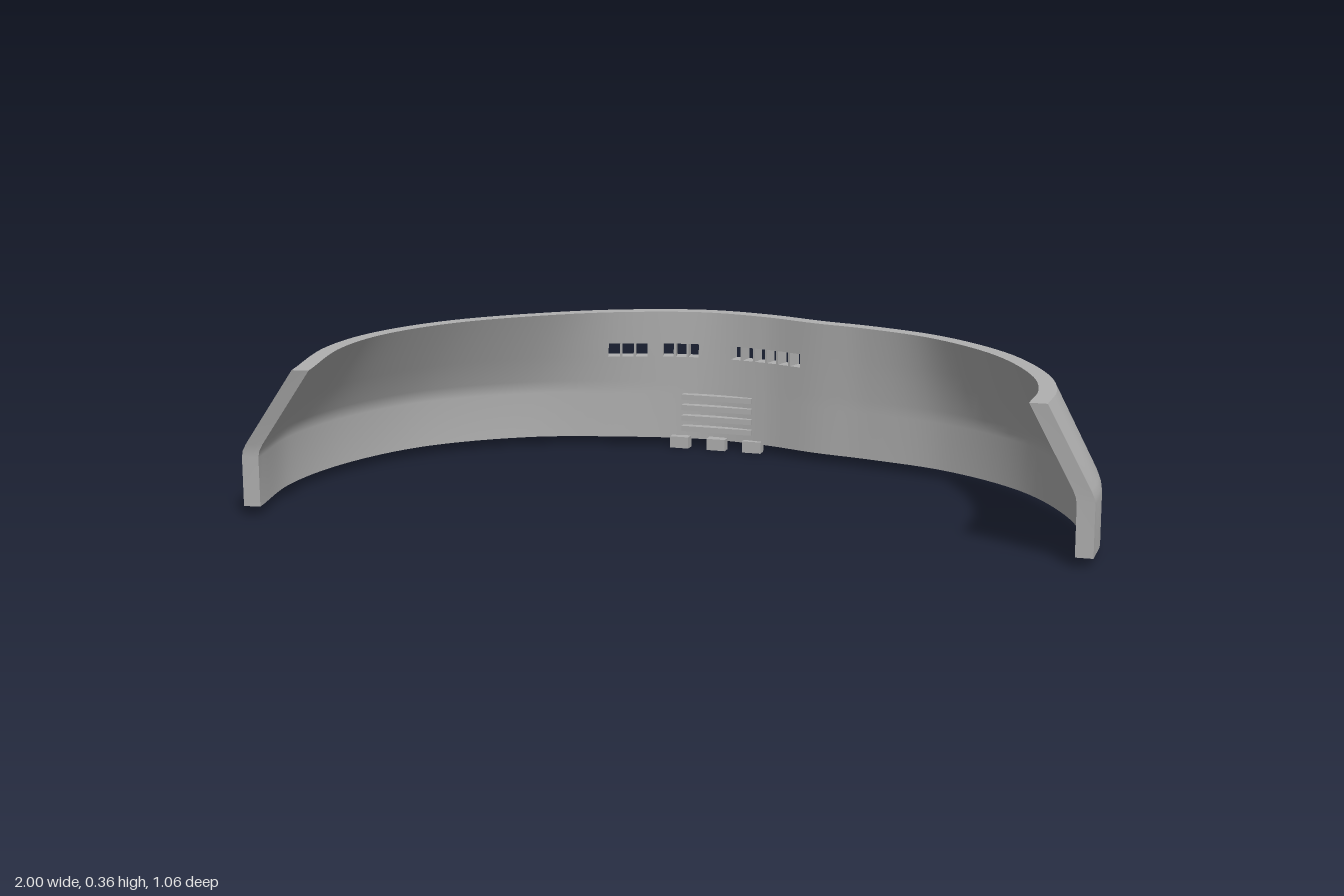
import * as THREE from 'three';
import { toCreasedNormals } from 'three/addons/utils/BufferGeometryUtils.js';

const THICK = 0.04;
const KNEE = 0.155;
const TOP = 0.36;

// Outer outline in plan, from the right front end round the back to the left end:
// [x, z at the foot, x, z at the rim]
const PLAN = [
  [-0.963, 0.5, -0.813, 0.525], [-0.998, 0.27, -0.866, 0.24], [-0.96, 0.02, -0.84, 0.03],
  [-0.84, -0.22, -0.73, -0.18], [-0.61, -0.41, -0.54, -0.36], [-0.38, -0.49, -0.37, -0.465],
  [-0.15, -0.53, -0.15, -0.53], [0.03, -0.51, 0.03, -0.51], [0.18, -0.465, 0.18, -0.46],
  [0.33, -0.435, 0.32, -0.425], [0.55, -0.37, 0.51, -0.345], [0.78, -0.21, 0.71, -0.17],
  [0.94, 0.03, 0.845, 0.06], [0.995, 0.22, 0.89, 0.23], [1, 0.355, 0.893, 0.37],
];
const curve = (a) => new THREE.CatmullRomCurve3(PLAN.map((p) => new THREE.Vector3(p[a], 0, p[a + 1])));
const foot = curve(0);
const rim = curve(2);

// Point on the outer wall, or on the inner wall when moved in by depth
function wallPoint(t, y, lean, depth) {
  const p = foot.getPoint(t).lerp(rim.getPoint(t), lean);
  const d = foot.getTangent(t).lerp(rim.getTangent(t), lean).normalize();
  return new THREE.Vector3(p.x - d.z * depth, y, p.z + d.x * depth);
}

const leanAt = (y) => Math.max(0, (y - KNEE) / (TOP - KNEE));

// Curve parameter at a given x along the back
function paramAtX(x) {
  let a = 3 / 14, b = 10 / 14;
  for (let k = 0; k < 40; k++) {
    const m = (a + b) / 2;
    if (wallPoint(m, 0, 0.5, 0).x < x) a = m; else b = m;
  }
  return a;
}

// Wall as a grid of solid cells, with open cells for the slots
function bandGeometry() {
  const rows = [[0.022, 0], [0.14, 0], [KNEE, 0.02], [0.172, leanAt(0.172)],
    [0.24, leanAt(0.24)], [0.275, leanAt(0.275)], [TOP, 1]];
  const slotRow = 4;

  const slots = [];
  for (const [x0, x1, n] of [[-0.405, -0.3, 3], [-0.265, -0.16, 3], [-0.07, 0.145, 6]]) {
    const step = (x1 - x0) / n;
    for (let k = 0; k < n; k++) {
      slots.push([paramAtX(x0 + k * step + 0.003), paramAtX(x0 + (k + 1) * step - 0.003)]);
    }
  }
  const cuts = slots.flat();
  const cols = [...cuts];
  for (let k = 0; k <= 96; k++) {
    const t = k / 96;
    if (cuts.every((c) => Math.abs(c - t) > 0.002)) cols.push(t);
  }
  cols.sort((a, b) => a - b);

  const grid = (depth) => cols.map((t) => rows.map(([y, lean]) => wallPoint(t, y, lean, depth)));
  const O = grid(0);
  const I = grid(THICK);
  const solid = (i, j) => {
    if (i < 0 || j < 0 || i >= cols.length - 1 || j >= rows.length - 1) return false;
    const mid = (cols[i] + cols[i + 1]) / 2;
    return !(j === slotRow && slots.some(([a, b]) => mid > a && mid < b));
  };

  const pos = [];
  const quad = (a, b, c, d) => {
    for (const p of [a, b, c, a, c, d]) pos.push(p.x, p.y, p.z);
  };
  for (let i = 0; i < cols.length - 1; i++) {
    for (let j = 0; j < rows.length - 1; j++) {
      if (!solid(i, j)) continue;
      const m = i + 1, n = j + 1;
      quad(O[i][j], O[i][n], O[m][n], O[m][j]);
      quad(I[i][j], I[m][j], I[m][n], I[i][n]);
      if (!solid(i - 1, j)) quad(O[i][j], I[i][j], I[i][n], O[i][n]);
      if (!solid(m, j)) quad(O[m][j], O[m][n], I[m][n], I[m][j]);
      if (!solid(i, j - 1)) quad(O[i][j], O[m][j], I[m][j], I[i][j]);
      if (!solid(i, n)) quad(O[i][n], I[i][n], I[m][n], O[m][n]);
    }
  }
  const g = new THREE.BufferGeometry();
  g.setAttribute('position', new THREE.Float32BufferAttribute(pos, 3));
  return toCreasedNormals(g, 0.6);
}

export function createModel() {
  const group = new THREE.Group();
  const grey = new THREE.MeshStandardMaterial({ color: 0xb0b0b0 });
  grey.name = 'plain grey';

  const add = (name, geometry, x = 0, y = 0, z = 0) => {
    const mesh = new THREE.Mesh(geometry, grey);
    mesh.name = name;
    mesh.position.set(x, y, z);
    group.add(mesh);
  };

  add('curvedBand', bandGeometry());

  // Louvre slats on the inside of the back
  for (let k = 0; k < 4; k++) {
    add('ventSlat', new THREE.BoxGeometry(0.19, 0.014, 0.036), -0.105, 0.052 + k * 0.028, -0.486);
  }

  // Small tabs under the back
  for (const x of [-0.205, -0.105, -0.008]) {
    add('footTab', new THREE.BoxGeometry(0.05, 0.03, 0.028), x, 0.015, -0.476);
  }
  return group;
}
